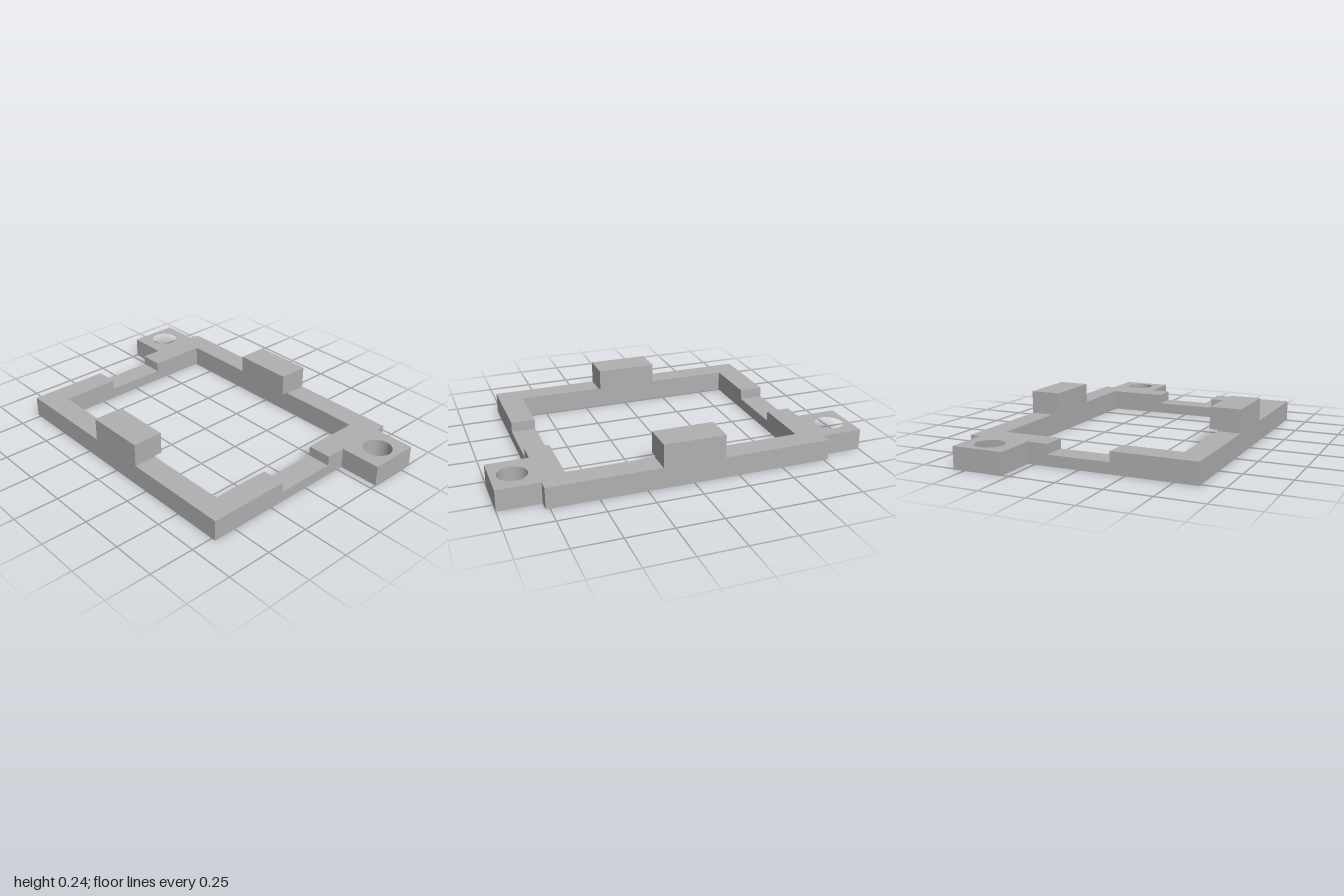
import * as THREE from 'three';
import { toCreasedNormals } from 'three/addons/utils/BufferGeometryUtils.js';

const H = 0.115;              // frame height
const OX = 0.772, OZ = 0.628; // outer half sizes
const IX = 0.64, IZ = 0.5;    // inner half sizes

// Extrudes a (-z, y) side profile along x, centred on x = 0
function alongX(points, width) {
  const shape = new THREE.Shape(points.map(([a, b]) => new THREE.Vector2(a, b)));
  const geo = new THREE.ExtrudeGeometry(shape, { depth: width, bevelEnabled: false });
  return geo.translate(0, 0, -width / 2).rotateY(Math.PI / 2);
}

// Mounting ear with a round through hole, on side s
function earGeometry(s) {
  const shape = new THREE.Shape([[OX, 0.286], [1, 0.286], [1, 0.57], [OX, 0.57]]
    .map(([x, y]) => new THREE.Vector2(s * x, y)));
  const hole = new THREE.Path();
  hole.absarc(s * 0.887, 0.43, 0.078, 0, Math.PI * 2, true);
  shape.holes.push(hole);
  const geo = new THREE.ExtrudeGeometry(shape, { depth: H, bevelEnabled: false, curveSegments: 24 });
  return toCreasedNormals(geo.rotateX(-Math.PI / 2), 0.6);
}

export function createModel() {
  const model = new THREE.Group();
  model.name = 'mountingBracket';
  const grey = new THREE.MeshStandardMaterial({ color: 0xb0b0b0 });
  grey.name = 'grey';

  const add = (name, geo) => {
    const mesh = new THREE.Mesh(geo, grey);
    mesh.name = name;
    model.add(mesh);
    return mesh;
  };

  // Side rails with a shallow notch in the middle, and their ears
  const railProfile = [[-OZ, 0], [OZ, 0], [OZ, H], [0.172, H], [0.172, 0.06],
    [-0.172, 0.06], [-0.172, H], [-OZ, H]];
  for (const [side, s] of [['left', 1], ['right', -1]]) {
    add(side + 'Rail', alongX(railProfile, OX - IX)).position.x = s * (OX + IX) / 2;
    add(side + 'Ear', earGeometry(s));
  }

  // Front and back bars, each with an overhanging clip
  const clipProfile = [[-OZ, H], [-IZ, H], [-IZ, 0.123], [-0.457, 0.123], [-0.457, 0.242], [-OZ, 0.242]];
  for (const [end, s] of [['front', 1], ['back', -1]]) {
    add(end + 'Bar', new THREE.BoxGeometry(IX * 2, H, OZ - IZ)).position.set(0, H / 2, s * (OZ + IZ) / 2);
    add(end + 'Clip', alongX(clipProfile, 0.338)).rotation.y = s > 0 ? 0 : Math.PI;
  }
  return model;
}
